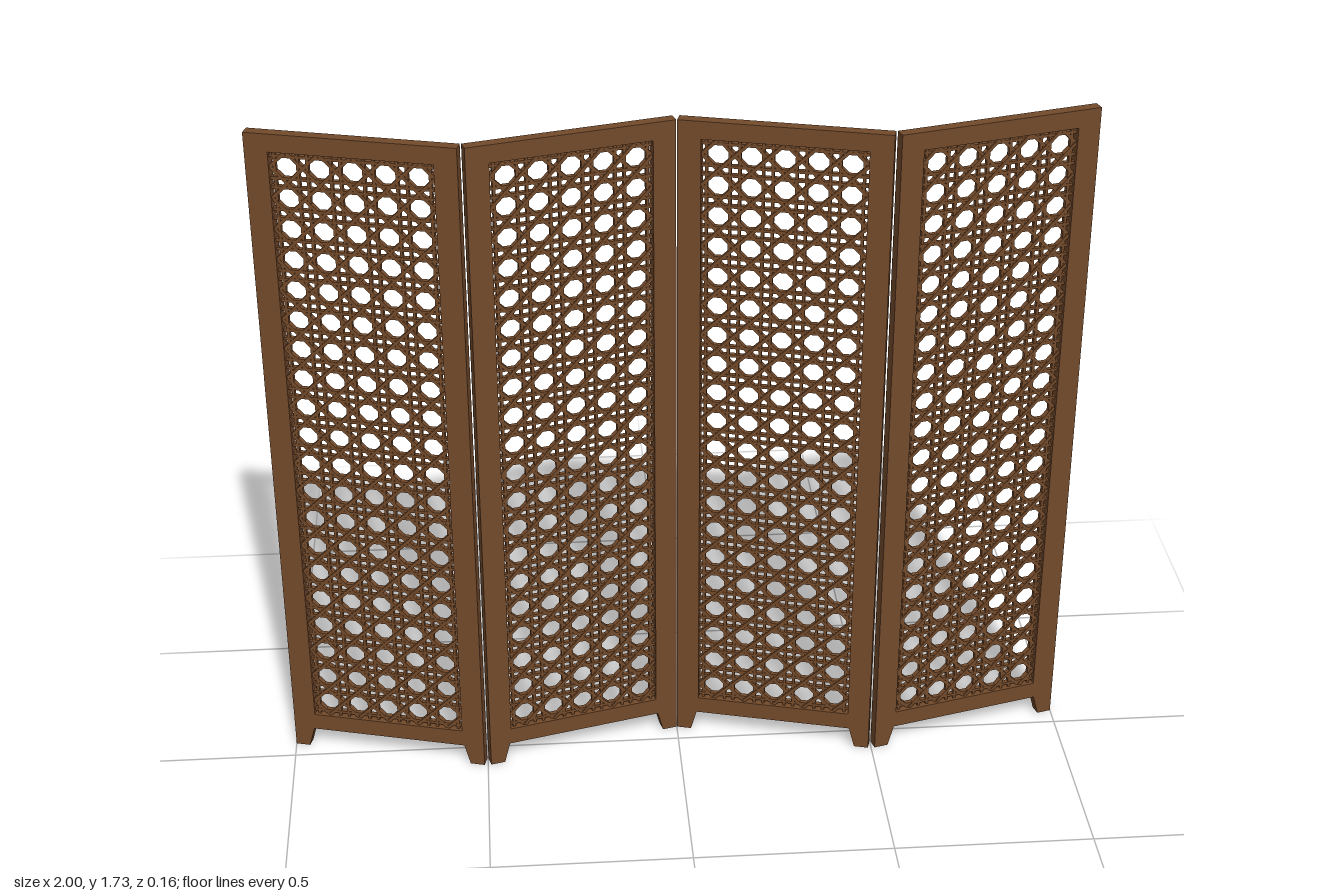
import * as THREE from 'three';

const WIDTH = 0.508, TOP = 1.725, DEPTH = 0.028;
const PITCH = 0.079, COLS = 5, ROWS = 20;
const OPEN_W = COLS * PITCH, OPEN_H = ROWS * PITCH, OPEN_Y = 0.1;
const STILE = (WIDTH - OPEN_W) / 2, FOOT = 0.055;

const wood = new THREE.MeshStandardMaterial({ color: 0x734a2b });
wood.name = 'brown wood';

function box(name, w, h, d, x, y, z = 0) {
  const mesh = new THREE.Mesh(new THREE.BoxGeometry(w, h, d), wood);
  mesh.name = name;
  mesh.position.set(x, y, z);
  return mesh;
}

// Foot with a vertical outer edge and a sloped inner edge
function foot(side) {
  const e = side * WIDTH / 2;
  const shape = new THREE.Shape([
    new THREE.Vector2(e, 0),
    new THREE.Vector2(e, FOOT),
    new THREE.Vector2(e - side * 0.052, FOOT),
    new THREE.Vector2(e - side * 0.037, 0),
  ]);
  const geo = new THREE.ExtrudeGeometry(shape, { depth: DEPTH, bevelEnabled: false });
  geo.translate(0, 0, -DEPTH / 2);
  const mesh = new THREE.Mesh(geo, wood);
  mesh.name = 'foot';
  return mesh;
}

// Paired upright and level slats, crossed by diagonals to leave octagonal openings
function lattice() {
  const group = new THREE.Group();
  group.name = 'lattice';
  const slat = 0.007, offset = 0.0115;
  for (let i = 0; i <= COLS; i++) {
    for (const s of [-1, 1]) {
      const x = i * PITCH + s * offset;
      if (x > 0 && x < OPEN_W)
        group.add(box('uprightSlat', slat, OPEN_H, 0.011, x - OPEN_W / 2, OPEN_H / 2));
    }
  }
  for (let j = 0; j <= ROWS; j++) {
    for (const s of [-1, 1]) {
      const y = j * PITCH + s * offset;
      if (y > 0 && y < OPEN_H)
        group.add(box('levelSlat', OPEN_W, slat, 0.012, 0, y));
    }
  }
  for (let k = -COLS; k < ROWS; k++) {
    const c = (k + 0.5) * PITCH;
    const x0 = Math.max(0, -c), x1 = Math.min(OPEN_W, OPEN_H - c);
    const mid = (x0 + x1) / 2;
    for (const s of [-1, 1]) {
      const bar = box('diagonalSlat', (x1 - x0) * Math.SQRT2, 0.008, 0.014,
        s * (mid - OPEN_W / 2), mid + c, s * 0.001);
      bar.rotation.z = s * Math.PI / 4;
      group.add(bar);
    }
  }
  group.position.y = OPEN_Y;
  return group;
}

function panel() {
  const group = new THREE.Group();
  group.name = 'panel';
  // Frame
  for (const s of [-1, 1]) {
    group.add(box('stile', STILE, TOP - FOOT, DEPTH, s * (WIDTH - STILE) / 2, (TOP + FOOT) / 2));
    group.add(foot(s));
  }
  const openTop = OPEN_Y + OPEN_H;
  group.add(box('topRail', OPEN_W, TOP - openTop, DEPTH, 0, (TOP + openTop) / 2));
  group.add(box('bottomRail', OPEN_W, OPEN_Y - FOOT, DEPTH, 0, (OPEN_Y + FOOT) / 2));
  group.add(lattice());
  return group;
}

export function createModel() {
  const model = new THREE.Group();
  model.name = 'foldingScreen';
  // Four panels folded in a zigzag
  [-0.751, -0.25, 0.25, 0.751].forEach((x, i) => {
    const p = panel();
    p.position.x = x;
    p.rotation.y = (i % 2 ? 1 : -1) * THREE.MathUtils.degToRad(15);
    model.add(p);
  });
  return model;
}
